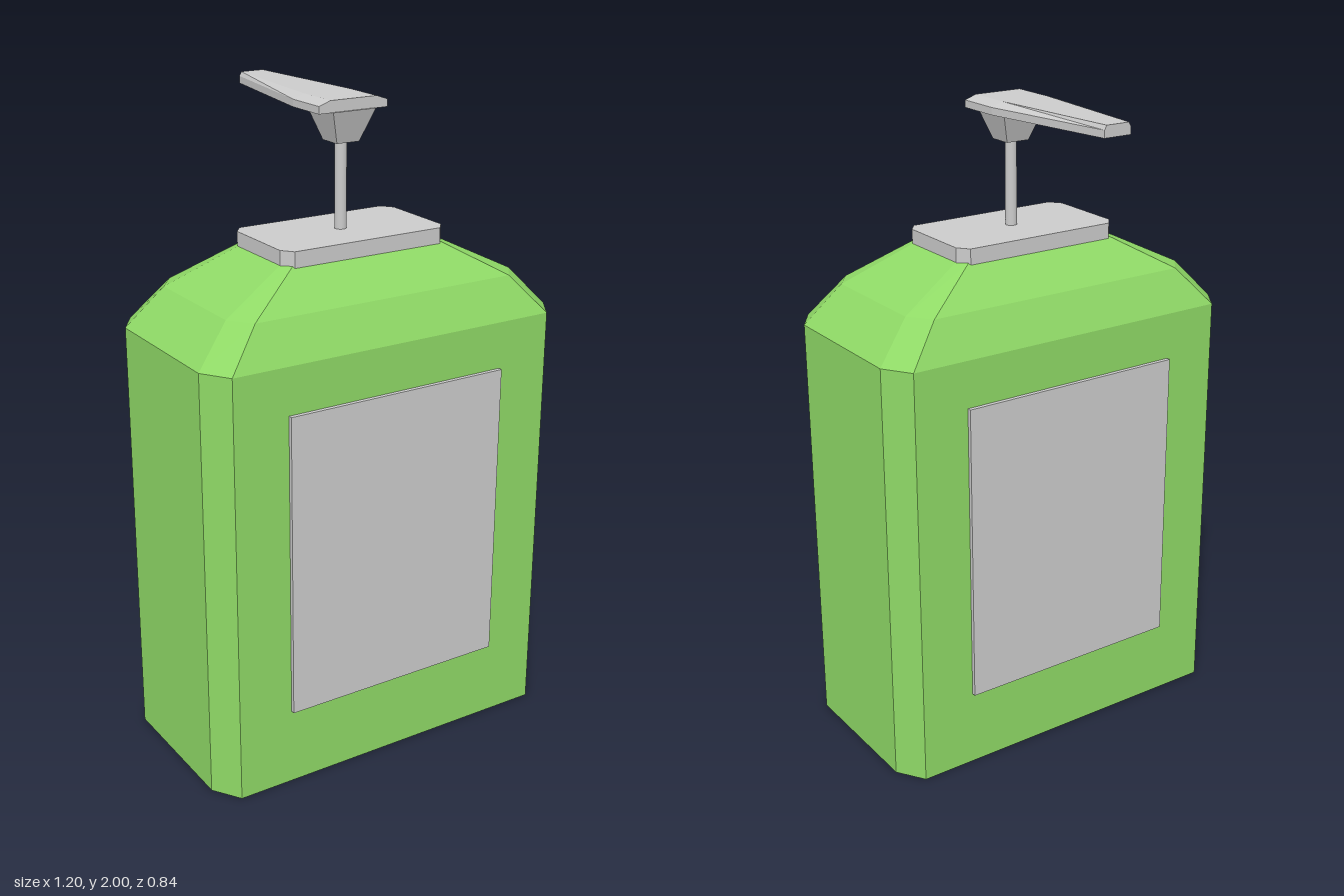
import * as THREE from 'three';

// Joins cross-sections (counter-clockwise seen from the last one) into a closed faceted solid
function loft(rings) {
  const pos = [];
  const tri = (a, b, c) => pos.push(...a, ...b, ...c);
  const n = rings[0].length;
  for (let i = 0; i < rings.length - 1; i++) {
    for (let j = 0; j < n; j++) {
      const k = (j + 1) % n;
      tri(rings[i][j], rings[i][k], rings[i + 1][k]);
      tri(rings[i][j], rings[i + 1][k], rings[i + 1][j]);
    }
  }
  const first = rings[0], last = rings[rings.length - 1];
  for (let j = 1; j < n - 1; j++) {
    tri(first[0], first[j + 1], first[j]);
    tri(last[0], last[j], last[j + 1]);
  }
  const geometry = new THREE.BufferGeometry();
  geometry.setAttribute('position', new THREE.Float32BufferAttribute(pos, 3));
  geometry.computeVertexNormals();
  return geometry;
}

// Rectangle with cut corners at height y: half sizes hx, hz; flat half lengths fx, fz
function cutRect([y, hx, hz, fx, fz]) {
  return [
    [fx, hz], [hx, fz], [hx, -fz], [fx, -hz],
    [-fx, -hz], [-hx, -fz], [-hx, fz], [-fx, hz],
  ].map(([x, z]) => [x, y, z]);
}

// Spout section at depth z: half width w, half width t of the flat top
function spoutSection([z, w, t]) {
  return [[-w, 1.965], [w, 1.965], [w, 1.987], [t, 2], [-t, 2], [-w, 1.987]].map(([x, y]) => [x, y, z]);
}

export function createModel() {
  const group = new THREE.Group();
  const green = new THREE.MeshStandardMaterial({ color: 0x8fd966, flatShading: true });
  const grey = new THREE.MeshStandardMaterial({ color: 0xcccccc, flatShading: true });
  const bodyZ = 0.09;

  const add = (name, geometry, material, x = 0, y = 0, z = 0) => {
    const mesh = new THREE.Mesh(geometry, material);
    mesh.name = name;
    mesh.position.set(x, y, z);
    group.add(mesh);
  };

  // Bottle with sloping shoulders
  add('bottle', loft([
    [0, 0.6, 0.315, 0.543, 0.23],
    [1.34, 0.6, 0.315, 0.543, 0.23],
    [1.46, 0.49, 0.257, 0.437, 0.188],
    [1.57, 0.27, 0.15, 0.25, 0.118],
  ].map(cutRect)), green, 0, 0, bodyZ);

  // Collar on top of the shoulders
  add('collar', loft([
    [1.555, 0.278, 0.158, 0.25, 0.123],
    [1.61, 0.278, 0.158, 0.25, 0.123],
  ].map(cutRect)), grey, 0, 0, bodyZ);

  // Label plates on the front and back
  for (const [name, side] of [['frontLabel', 1], ['backLabel', -1]]) {
    add(name, new THREE.BoxGeometry(0.735, 0.95, 0.02), grey, 0, 0.72, bodyZ + side * 0.318);
  }

  // Pump stem
  const stemMaterial = new THREE.MeshStandardMaterial({ color: 0xcccccc });
  add('stem', new THREE.CylinderGeometry(0.018, 0.018, 0.29, 16), stemMaterial, 0, 1.735, bodyZ + 0.003);

  // Square tapered socket under the pump head
  const socket = new THREE.CylinderGeometry(0.072 * Math.SQRT2, 0.038 * Math.SQRT2, 0.097, 4);
  socket.rotateY(Math.PI / 4);
  add('pumpSocket', socket, grey, 0, 1.9175, bodyZ + 0.004);

  // Pump head tapering back into the spout
  add('spout', loft([
    [-0.42, 0.045, 0.038],
    [0.02, 0.116, 0.078],
    [0.16, 0.116, 0.078],
  ].map(spoutSection)), grey);

  return group;
}
